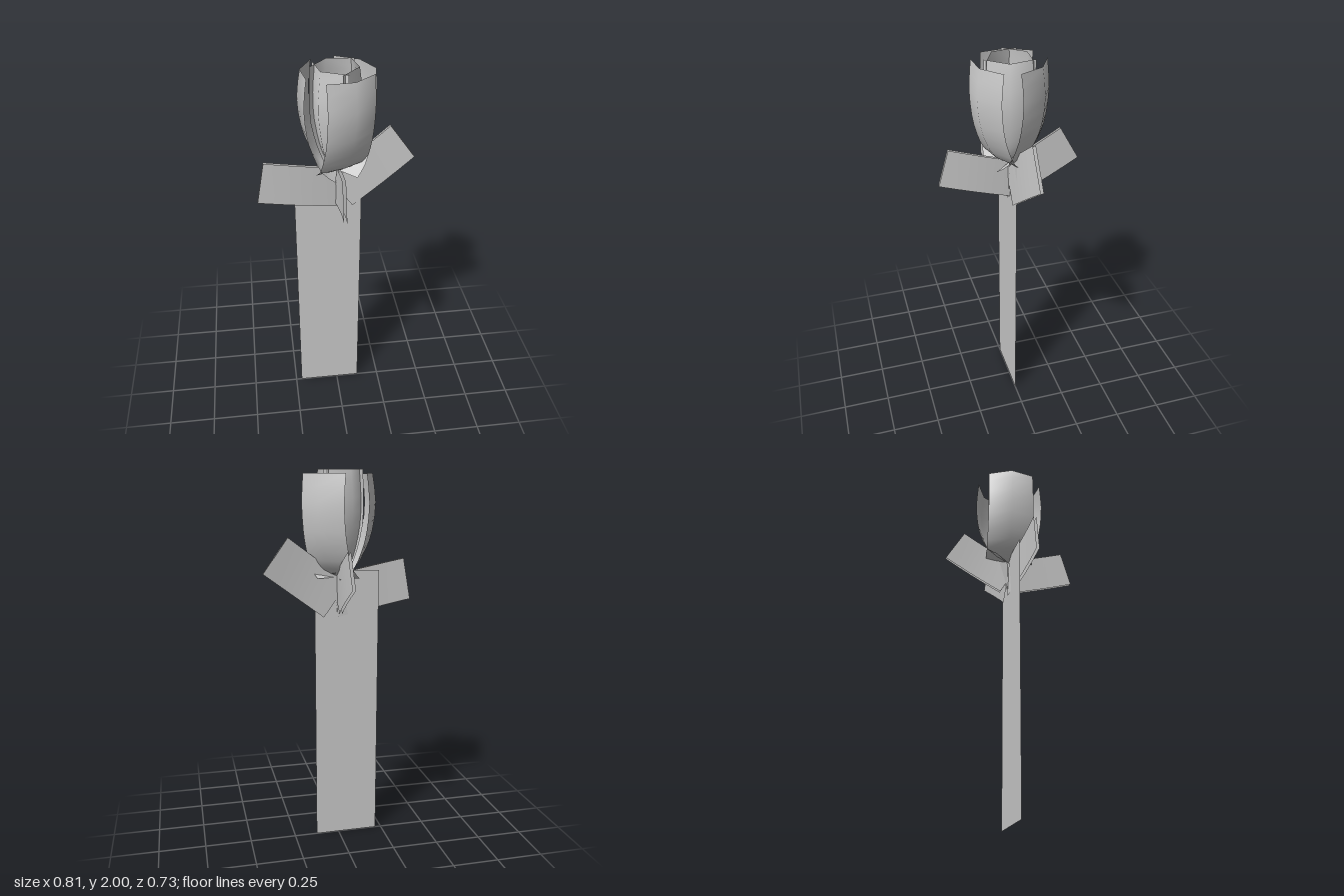
import * as THREE from 'three';

const material = new THREE.MeshStandardMaterial({ color: 0xcccccc, side: THREE.DoubleSide });

// Smooth sheet through a grid of points: at(u, v) -> [x, y, z]
function sheet(name, cols, rows, at) {
  const g = new THREE.PlaneGeometry(1, 1, cols, rows);
  const uv = g.attributes.uv, p = g.attributes.position;
  for (let i = 0; i < p.count; i++) p.setXYZ(i, ...at(uv.getX(i), uv.getY(i)));
  g.computeVertexNormals();
  const mesh = new THREE.Mesh(g, material);
  mesh.name = name;
  return mesh;
}

// Petal: a strip folded once along its middle, following a bulging profile.
// profile points are (distance out, height); wrap pulls the side edges inward.
function petal(name, degrees, profile, wrap, halfBottom, halfTop) {
  const a = THREE.MathUtils.degToRad(degrees);
  const s = Math.sin(a), c = Math.cos(a);
  const curve = new THREE.SplineCurve(profile.map(([r, y]) => new THREE.Vector2(r, y)));
  return sheet(name, 2, 10, (u, v) => {
    const q = curve.getPoint(v);
    const side = 2 * u - 1;
    const n = q.x * (side === 0 ? 1 : wrap);
    const t = side * THREE.MathUtils.lerp(halfBottom, halfTop, Math.min(1, v * 1.6));
    return [s * n + c * t, q.y, c * n - s * t];
  });
}

// Leaf: a pair of close, slightly bowed cards standing upright.
// Corners are (distance out, height); drift bends the tip sideways.
function leaf(name, [dx, dz], outTop, outBottom, inBottom, drift) {
  const group = new THREE.Group();
  group.name = name;
  for (const offset of [-0.0075, 0.0075]) {
    group.add(sheet('leafCard', 4, 1, (u, v) => {
      const mix = (k) => inBottom[k] + (outBottom[k] - inBottom[k]) * u + (outTop[k] - outBottom[k]) * v;
      const r = mix(0);
      const w = offset + drift * u + 0.006 * Math.sin(Math.PI * u);
      return [dx * r + Math.abs(dz) * w, mix(1), dz * r + Math.abs(dx) * w];
    }));
  }
  return group;
}

export function createModel() {
  const model = new THREE.Group();
  model.name = 'flower';

  // Flat stem card
  const stem = new THREE.Mesh(new THREE.PlaneGeometry(0.345, 1.49), material);
  stem.position.set(-0.0455, 0.745, 0);
  stem.name = 'stem';
  model.add(stem);

  // Four leaves around the top of the stem
  model.add(
    leaf('leftLeaf', [1, 0], [0.27, 1.67], [0.4, 1.49], [0.08, 1.25], -0.037),
    leaf('rightLeaf', [-1, 0], [0.365, 1.545], [0.405, 1.325], [0.0, 1.25], 0.042),
    leaf('frontLeaf', [0, 1], [0.31, 1.565], [0.365, 1.375], [0.0, 1.265], -0.005),
    leaf('backLeaf', [0, -1], [0.26, 1.615], [0.36, 1.44], [0.05, 1.27], 0.007)
  );

  // Three outer petals, their bases crossing under the bloom
  const outer = [[0, 1.46], [0.085, 1.51], [0.14, 1.6], [0.174, 1.7], [0.19, 1.84], [0.172, 1.98]];
  for (const d of [22, 134, 260]) model.add(petal('outerPetal', d, outer, 0.76, 0.13, 0.127));

  // Three inner petals, wrapped tighter and slightly taller
  const inner = [[0.03, 1.48], [0.075, 1.55], [0.105, 1.66], [0.124, 1.83], [0.105, 2]];
  for (const d of [75, -52, -158]) model.add(petal('innerPetal', d, inner, 0.42, 0.045, 0.12));

  return model;
}
